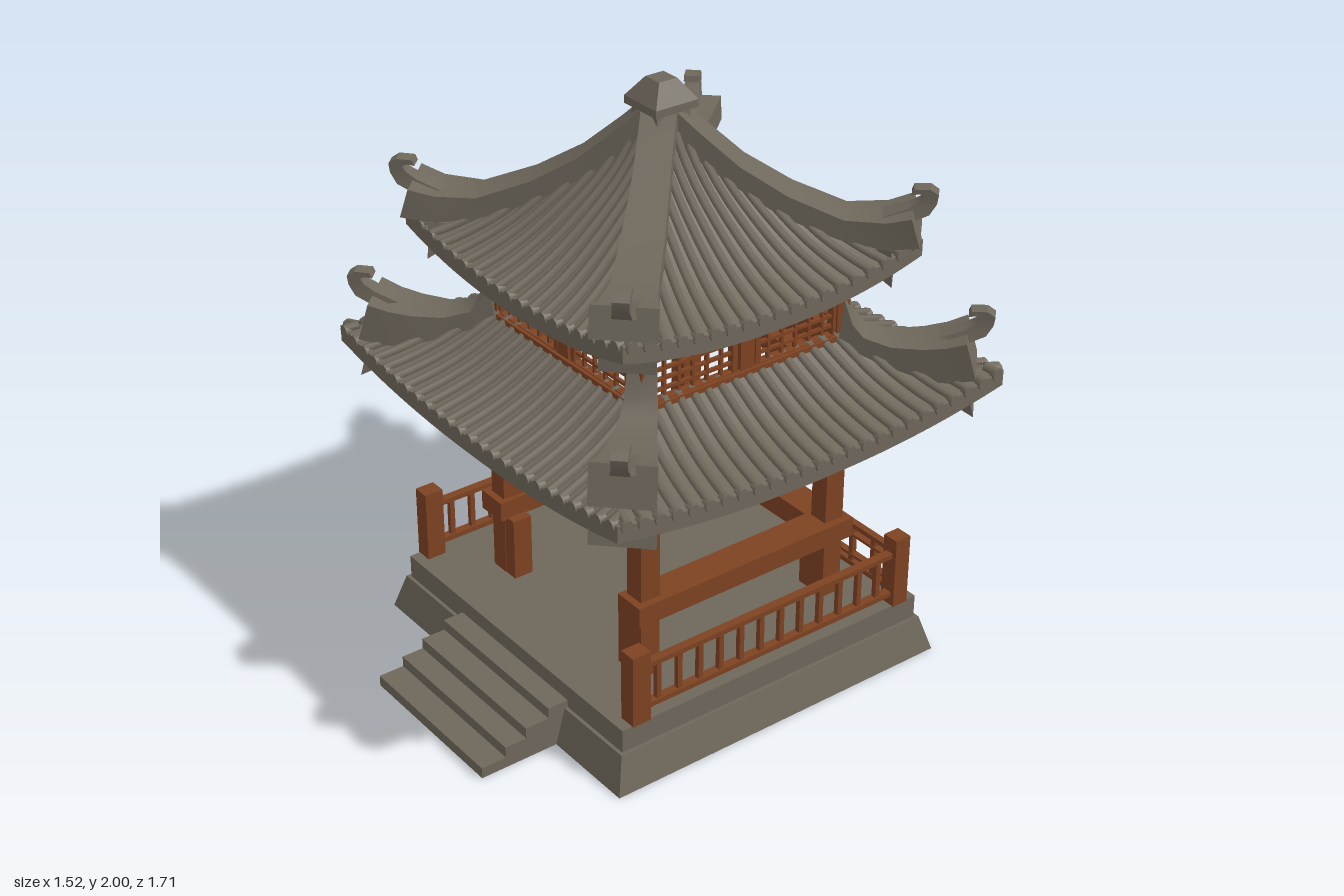
import * as THREE from 'three';
import { mergeGeometries, toCreasedNormals } from 'three/addons/utils/BufferGeometryUtils.js';

const wood = new THREE.MeshStandardMaterial({ color: 0x7d4222 });
wood.name = 'red brown wood';
const stone = new THREE.MeshStandardMaterial({ color: 0x6e675b, side: THREE.DoubleSide });
stone.name = 'grey stone and tile';

function add(parent, name, geo, mat) {
  const m = new THREE.Mesh(geo, mat);
  m.name = name;
  parent.add(m);
  return m;
}
// Box given by its limits
function box(parent, name, mat, x0, x1, y0, y1, z0, z1) {
  const m = add(parent, name, new THREE.BoxGeometry(x1 - x0, y1 - y0, z1 - z0), mat);
  m.position.set((x0 + x1) / 2, (y0 + y1) / 2, (z0 + z1) / 2);
  return m;
}
// Square frustum with half widths at bottom and top
function frustum(parent, name, mat, bottom, top, y0, y1) {
  const g = new THREE.CylinderGeometry(top * Math.SQRT2, bottom * Math.SQRT2, y1 - y0, 4);
  g.rotateY(Math.PI / 4).translate(0, (y0 + y1) / 2, 0);
  add(parent, name, toCreasedNormals(g, 0.5), mat);
}
// Skin over a series of closed rings of points
function loft(rings, caps) {
  const n = rings[0].length, idx = [];
  for (let i = 0; i < rings.length - 1; i++)
    for (let j = 0; j < n; j++) {
      const a = i * n + j, b = i * n + (j + 1) % n;
      idx.push(a, b, b + n, a, b + n, a + n);
    }
  if (caps) {
    const e = (rings.length - 1) * n;
    for (let j = 1; j < n - 1; j++) idx.push(0, j + 1, j, e, e + j, e + j + 1);
  }
  const g = new THREE.BufferGeometry();
  g.setAttribute('position', new THREE.Float32BufferAttribute(rings.flat(2), 3));
  g.setIndex(idx);
  return toCreasedNormals(g, 0.6);
}
// Bar along the diagonal; rows are [rTop, yTop, rBottom, yBottom, halfWidth]
function hipBar(rows) {
  return loft(rows.map(([rt, yt, rb, yb, w]) => {
    const s = w * Math.SQRT1_2;
    return [[rt + s, yt, rt - s], [rt - s, yt, rt + s], [rb - s, yb, rb + s], [rb + s, yb, rb - s]];
  }), true);
}
// Four copies turned around the vertical axis
function fourTimes(parent, name, build) {
  for (let k = 0; k < 4; k++) {
    const g = new THREE.Group();
    g.name = name;
    g.rotation.y = k * Math.PI / 2;
    build(g);
    parent.add(g);
  }
}

// Sweeping tiled roof: concave profile, raised corners, hip ridges with hooks
function roof(parent, name, { profile, lift, tiles, fan, ridge, hook, hipEnd }) {
  const pts = new THREE.SplineCurve(profile.map(p => new THREE.Vector2(...p))).getPoints(60);
  const t0 = profile[0][0], T = profile[profile.length - 1][0], thick = 0.055;
  const height = (x, t) => {
    let i = 1;
    while (i < pts.length - 1 && pts[i].x < t) i++;
    const a = pts[i - 1], b = pts[i];
    const y = a.y + (b.y - a.y) * (t - a.x) / (b.x - a.x);
    return y + lift * Math.pow(Math.min(1, Math.abs(x / t)), 2.2) * Math.pow(t / T, 2.5);
  };
  // Panel slab
  const rings = [], N = 12;
  for (let i = 0; i <= 20; i++) {
    const u = i / 10 - 1, top = [], under = [];
    for (let j = 0; j <= N; j++) {
      const t = t0 + (T - t0) * j / N, y = height(u * t, t);
      top.push([u * t, y, t]);
      under.unshift([u * t, y - thick, t]);
    }
    rings.push([...top, ...under]);
  }
  const panel = loft(rings, false);
  // Rows of round tiles with end caps
  const parts = [], step = 2 * T / tiles;
  for (let i = 0; i < tiles; i++) {
    const x0 = (i + 0.5) * step - T, ax = Math.abs(x0);
    const start = Math.max(t0, fan * ax / (1 - (1 - fan) * ax / T));
    const path = [];
    for (let j = 0; j <= 8; j++) {
      const t = start + (T - start) * j / 8, x = x0 * (fan + (1 - fan) * t / T);
      path.push(new THREE.Vector3(x, height(x, t) + 0.006, t));
    }
    parts.push(new THREE.TubeGeometry(new THREE.CatmullRomCurve3(path), 10, 0.015, 6));
    const end = new THREE.CylinderGeometry(0.02, 0.02, 0.025, 8).rotateX(Math.PI / 2);
    parts.push(end.translate(x0, height(x0, T) - 0.002, T - 0.005));
  }
  const rows = mergeGeometries(parts);
  const ridgeGeo = hipBar(ridge), endGeo = hipBar(hipEnd);
  const [dr, dy] = hook;
  const hookGeo = hipBar([
    [0.48, 1.60, 0.54, 1.585, 0.04], [0.535, 1.628, 0.58, 1.61, 0.03], [0.56, 1.65, 0.595, 1.645, 0.025],
    [0.567, 1.668, 0.598, 1.675, 0.025], [0.558, 1.675, 0.58, 1.692, 0.025], [0.54, 1.672, 0.545, 1.69, 0.025],
  ].map(([a, b, c, d, w]) => [a + dr, b + dy, c + dr, d + dy, w]));
  fourTimes(parent, name, g => {
    add(g, 'roofPanel', panel, stone);
    add(g, 'tileRows', rows, stone);
    add(g, 'hipRidge', ridgeGeo, stone);
    add(g, 'ridgeHook', hookGeo, stone);
    add(g, 'hipEnd', endGeo, stone);
  });
}

export function createModel() {
  const model = new THREE.Group();
  model.name = 'pavilion';
  const outer = new THREE.Group(), inner = new THREE.Group();
  outer.name = 'terraceAndTopRoof';
  outer.position.set(-0.02, 0, -0.063);
  inner.name = 'hall';
  inner.position.set(-0.005, 0, -0.077);
  model.add(outer, inner);

  // Stone terrace and steps
  frustum(outer, 'baseSlope', stone, 0.65, 0.615, 0, 0.125);
  frustum(outer, 'baseTop', stone, 0.603, 0.603, 0.125, 0.207);
  [0.868, 0.778, 0.7, 0.614].forEach((z, i) =>
    box(model, 'step', stone, -0.305, 0.295, i * 0.038, (i + 1) * 0.038, 0.45, z));

  // Railing: corner posts, sides with balusters, lattice at the back
  const P = 0.577;
  for (const s of [-1, 1]) {
    const x = s * P;
    box(outer, 'frontPost', wood, x - 0.03, x + 0.03, 0.205, 0.46, 0.497, 0.565);
    box(outer, 'backPost', wood, x - 0.03, x + 0.03, 0.205, 0.46, -0.562, -0.502);
    box(outer, 'sideTopRail', wood, x - 0.015, x + 0.015, 0.388, 0.405, -0.54, 0.54);
    box(outer, 'sideBottomRail', wood, x - 0.015, x + 0.015, 0.238, 0.256, -0.54, 0.54);
    for (let i = 1; i < 13; i++) {
      const z = -0.53 + i * 1.06 / 13;
      box(outer, 'baluster', wood, x - 0.009, x + 0.009, 0.25, 0.39, z - 0.009, z + 0.009);
    }
  }
  for (const [y0, y1] of [[0.388, 0.405], [0.355, 0.365], [0.275, 0.285], [0.238, 0.256]])
    box(outer, 'backRail', wood, -P, P, y0, y1, -0.545, -0.52);
  for (let i = 1; i < 11; i++) {
    const x = -P + i * 2 * P / 11;
    box(outer, 'backBaluster', wood, x - 0.009, x + 0.009, 0.25, 0.39, -0.541, -0.523);
  }

  // Columns and U-shaped bench
  const C = 0.375;
  for (const sx of [-1, 1]) {
    for (const sz of [-1, 1]) {
      const x = sx * C, z = sz * C;
      box(inner, 'column', wood, x - 0.035, x + 0.035, 0.205, 1.08, z - 0.037, z + 0.037);
      const lx = sx * 0.35;
      box(inner, 'benchLeg', wood, lx - 0.06, lx + 0.06, 0.205, 0.43, z - 0.035, z + 0.035);
    }
    const bx = sx * 0.38;
    box(inner, 'sideBench', wood, bx - 0.056, bx + 0.056, 0.425, 0.495, -0.436, 0.436);
  }
  box(inner, 'backBench', wood, -0.33, 0.33, 0.425, 0.495, -0.436, -0.324);

  // Upper storey: ring beam, posts, lattice windows, top plate
  fourTimes(inner, 'upperWall', g => {
    box(g, 'ringBeam', wood, -0.43, 0.43, 1.03, 1.09, 0.3, 0.43);
    box(g, 'wallBase', wood, -0.4, 0.4, 1.09, 1.185, 0.37, 0.4);
    box(g, 'sill', wood, -0.41, 0.41, 1.165, 1.182, 0.37, 0.412);
    box(g, 'topRail', wood, -0.4, 0.4, 1.345, 1.375, 0.37, 0.4);
    box(g, 'cornerPost', wood, -0.405, -0.357, 1.09, 1.375, 0.357, 0.405);
    box(g, 'middlePost', wood, -0.027, 0.027, 1.16, 1.375, 0.37, 0.402);
    for (const s of [-1, 1]) {
      const c = s * 0.2;
      for (const e of [-1, 1]) {
        const x = c + e * 0.155;
        box(g, 'windowFrame', wood, x - 0.01, x + 0.01, 1.18, 1.35, 0.375, 0.398);
      }
      for (let i = -2; i <= 2; i++) {
        const x = c + i * 0.054;
        box(g, 'windowBar', wood, x - 0.005, x + 0.005, 1.18, 1.35, 0.38, 0.392);
      }
      for (let i = 1; i < 5; i++) {
        const y = 1.18 + i * 0.034;
        box(g, 'windowCrossbar', wood, c - 0.155, c + 0.155, y - 0.005, y + 0.005, 0.38, 0.392);
      }
    }
  });
  frustum(inner, 'topPlate', wood, 0.47, 0.47, 1.37, 1.385);
  frustum(inner, 'topPlateSlope', wood, 0.47, 0.45, 1.385, 1.42);

  // Lower roof skirt
  roof(inner, 'lowerRoof', {
    profile: [[0.38, 1.17], [0.45, 1.128], [0.55, 1.075], [0.65, 1.038], [0.75, 1.012]],
    lift: 0.07, tiles: 25, fan: 0.7, hook: [0.125, -0.4],
    ridge: [
      [0.395, 1.31, 0.38, 1.1, 0.045], [0.415, 1.23, 0.41, 1.1, 0.05], [0.44, 1.19, 0.44, 1.09, 0.055],
      [0.5, 1.168, 0.5, 1.07, 0.065], [0.57, 1.175, 0.57, 1.06, 0.08], [0.62, 1.19, 0.64, 1.07, 0.09],
      [0.665, 1.215, 0.69, 1.09, 0.1],
    ],
    hipEnd: [[0.58, 1.04, 0.58, 1.015, 0.03], [0.675, 1.04, 0.69, 0.96, 0.1]],
  });

  // Top roof
  roof(outer, 'topRoof', {
    profile: [[0.05, 1.87], [0.1, 1.785], [0.175, 1.695], [0.28, 1.605], [0.4, 1.52], [0.5, 1.468], [0.57, 1.44]],
    lift: 0.075, tiles: 19, fan: 0.45, hook: [0, 0],
    ridge: [
      [0.04, 1.91, 0.04, 1.82, 0.055], [0.09, 1.845, 0.08, 1.76, 0.055], [0.175, 1.745, 0.165, 1.68, 0.058],
      [0.28, 1.66, 0.27, 1.59, 0.065], [0.4, 1.595, 0.39, 1.53, 0.07], [0.49, 1.6, 0.49, 1.51, 0.085],
      [0.545, 1.625, 0.565, 1.53, 0.1],
    ],
    hipEnd: [[0.42, 1.49, 0.42, 1.46, 0.03], [0.505, 1.51, 0.51, 1.385, 0.085]],
  });

  // Finial cap
  frustum(outer, 'finialNeck', stone, 0.075, 0.06, 1.82, 1.91);
  frustum(outer, 'finialBlock', stone, 0.08, 0.08, 1.91, 1.935);
  frustum(outer, 'finialCap', stone, 0.08, 0.034, 1.935, 2.0);
  return model;
}
